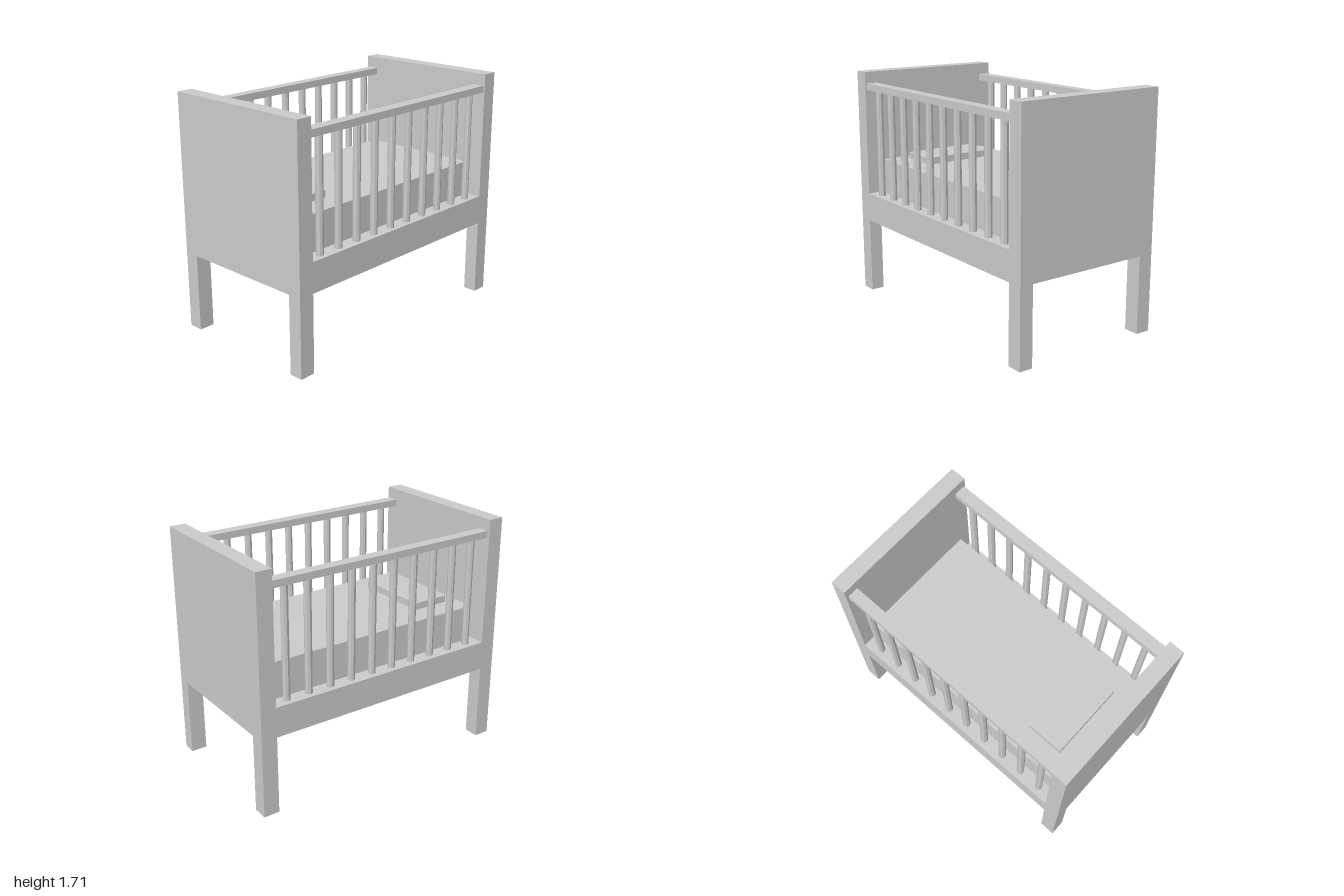
import * as THREE from 'three';

export function createModel() {
  const crib = new THREE.Group();
  crib.name = 'crib';
  const material = new THREE.MeshStandardMaterial({ color: 0xcccccc, flatShading: true });

  // Box given by its extents along each axis
  function box(name, [x0, x1], [y0, y1], [z0, z1]) {
    const mesh = new THREE.Mesh(new THREE.BoxGeometry(x1 - x0, y1 - y0, z1 - z0), material);
    mesh.position.set((x0 + x1) / 2, (y0 + y1) / 2, (z0 + z1) / 2);
    mesh.name = name;
    crib.add(mesh);
  }

  const inner = 0.885, depth = 0.57, baseY = 0.565, baseTop = 0.78;
  const railY = 1.575, railTop = 1.625;

  // Bed base, mattress and pillow
  box('base', [-inner, inner], [baseY, baseTop], [-depth, depth]);
  box('mattress', [-0.855, 0.855], [baseTop, 1.04], [-0.46, 0.455]);
  box('pillow', [-0.755, -0.475], [1.04, 1.09], [-0.29, 0.28]);

  // Solid end panels, each on two legs
  for (const [side, x] of [['right', [-1, -inner]], ['left', [inner, 1]]]) {
    box(side + 'EndPanel', x, [baseY, 1.71], [-depth, depth]);
    box(side + 'FrontLeg', x, [0, baseY], [0.47, depth]);
    box(side + 'BackLeg', x, [0, baseY], [-depth, -0.46]);
  }

  // Side rails with a row of round bars below
  const barGeometry = new THREE.CylinderGeometry(0.026, 0.026, railY - baseTop, 8);
  for (const [side, z] of [['front', [0.475, 0.56]], ['back', [-0.55, -0.47]]]) {
    box(side + 'Rail', [-inner, inner], [railY, railTop], z);
    const bars = new THREE.Group();
    bars.name = side + 'Bars';
    for (let i = 0; i < 10; i++) {
      const bar = new THREE.Mesh(barGeometry, material);
      bar.name = 'bar';
      bar.position.set(-0.77 + i * 0.171, (railY + baseTop) / 2, (z[0] + z[1]) / 2);
      bars.add(bar);
    }
    crib.add(bars);
  }
  return crib;
}
